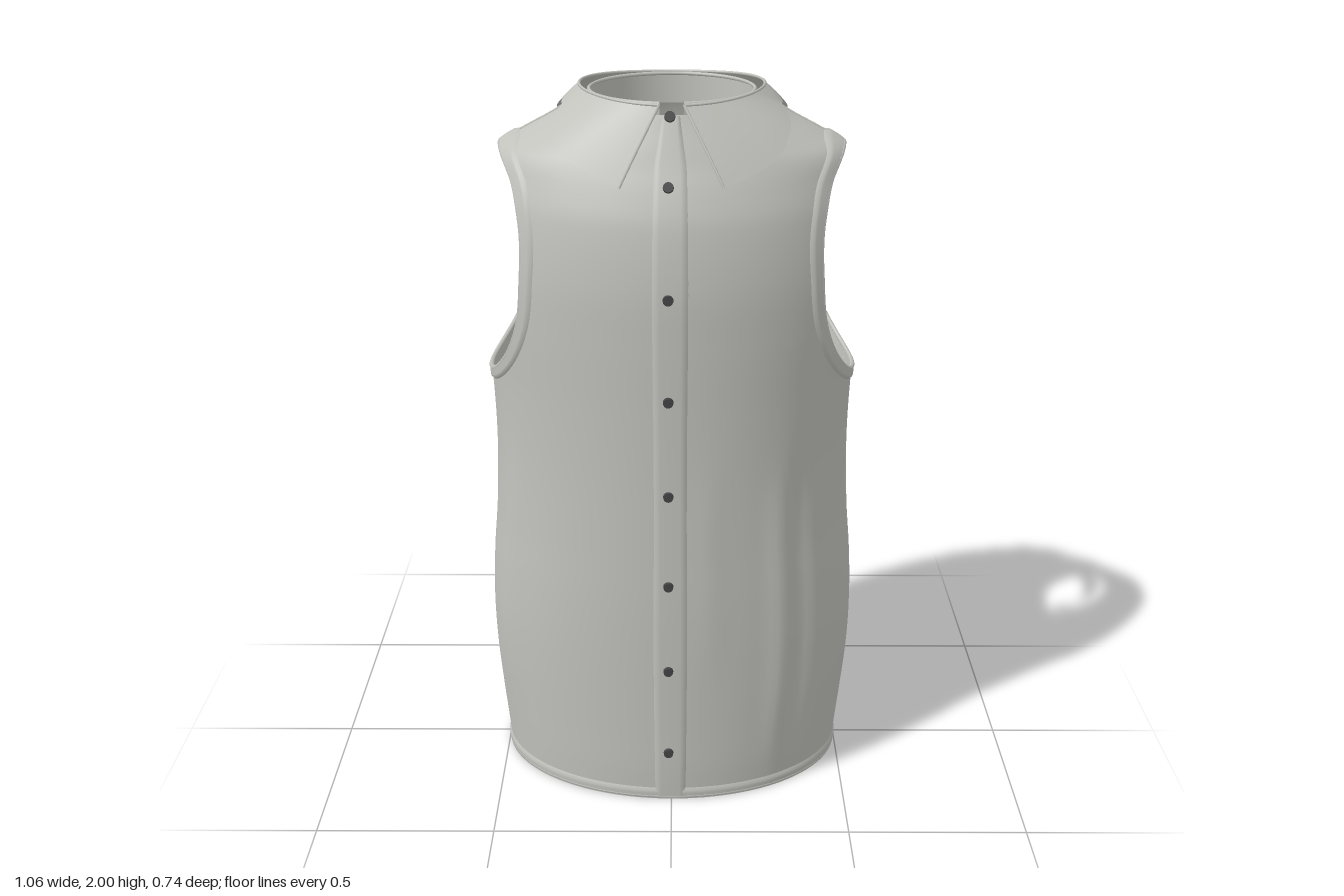
import * as THREE from 'three';

const cloth = new THREE.MeshStandardMaterial({ color: 0xc2c2bd, side: THREE.DoubleSide });
cloth.name = 'grey cloth';
const dark = new THREE.MeshStandardMaterial({ color: 0x444446 });
dark.name = 'dark button';

// Body sections: height, half width, front depth, back depth
const SECTIONS = [
  [0, 0.495, 0.345, 0.308], [0.1, 0.504, 0.35, 0.325], [0.2, 0.513, 0.352, 0.352],
  [0.35, 0.524, 0.355, 0.366], [0.5, 0.527, 0.358, 0.353], [0.65, 0.519, 0.36, 0.331],
  [0.8, 0.505, 0.36, 0.316], [1.0, 0.496, 0.36, 0.31], [1.2, 0.5, 0.362, 0.31],
  [1.4, 0.514, 0.365, 0.31], [1.55, 0.515, 0.363, 0.31], [1.7, 0.5, 0.343, 0.31],
  [1.78, 0.482, 0.315, 0.305], [1.84, 0.457, 0.287, 0.293], [1.88, 0.39, 0.27, 0.28],
  [1.92, 0.315, 0.252, 0.263], [1.96, 0.25, 0.235, 0.25],
];
// Soft vertical folds: angle, angular width, mid height, half height, depth
const FOLDS = [
  [0.62, 0.07, 0.55, 0.4, 0.012], [0.78, 0.07, 0.6, 0.4, -0.01], [0.2, 0.08, 0.75, 0.3, 0.004],
  [-1.1, 0.12, 0.6, 0.4, 0.006], [-1.75, 0.1, 0.6, 0.4, -0.006], [-2.2, 0.1, 0.7, 0.35, 0.009],
  [-2.5, 0.08, 0.7, 0.35, -0.007], [2.2, 0.12, 0.6, 0.4, 0.007], [1.3, 0.1, 0.6, 0.4, 0.006],
];

// Smooth interpolation between sections
function section(y) {
  const S = SECTIONS, n = S.length;
  let i = 0;
  while (i < n - 2 && y > S[i + 1][0]) i++;
  const p = S[i], q = S[i + 1], h = q[0] - p[0], u = (y - p[0]) / h;
  const slope = (j, c) => {
    const a = S[Math.max(j - 1, 0)], b = S[Math.min(j + 1, n - 1)];
    return (b[c] - a[c]) / (b[0] - a[0]);
  };
  return [1, 2, 3].map((c) =>
    p[c] * (2 * u ** 3 - 3 * u * u + 1) + q[c] * (3 * u * u - 2 * u ** 3) +
    h * (slope(i, c) * (u ** 3 - 2 * u * u + u) + slope(i + 1, c) * (u ** 3 - u * u)));
}

// Point on the body: angle t is 0 at the front, PI/2 at the left
function skin(t, y) {
  const [a, f, b] = section(y);
  let r = 1;
  for (const [t0, w, y0, h, d] of FOLDS) {
    r += 2.2 * d * Math.exp(-(((t - t0) / w) ** 2) - ((y - y0) / h) ** 4);
  }
  const c = Math.cos(t);
  return new THREE.Vector3(a * r * Math.sin(t), y, (c > 0 ? f : b) * r * c);
}
function normalAt(t, y) {
  const e = 0.004, y0 = Math.max(y - e, 0), y1 = Math.min(y + e, 1.96);
  const du = skin(t + e, y).sub(skin(t - e, y)), dv = skin(t, y1).sub(skin(t, y0));
  return du.cross(dv).normalize();
}
const onBody = (t, y, off) => skin(t, y).addScaledVector(normalAt(t, y), off);

// Armhole: rounded oval in the side plane
const HOLE = { z: 0.015, y: 1.537, w: 0.225, h: 0.308, n: 2.3 };
const holeRadius = (z, y) => (Math.abs((z - HOLE.z) / HOLE.w) ** HOLE.n + Math.abs((y - HOLE.y) / HOLE.h) ** HOLE.n) ** (1 / HOLE.n);
function angleFor(z, y) {
  const [, f, b] = section(y);
  return Math.acos(THREE.MathUtils.clamp(z / (z > 0 ? f : b), -1, 1));
}
function holePoint(phi, scale, off, side) {
  const c = Math.cos(phi), s = Math.sin(phi), p = 2 / HOLE.n;
  const z = HOLE.z + HOLE.w * scale * Math.sign(c) * Math.abs(c) ** p;
  const y = HOLE.y + HOLE.h * scale * Math.sign(s) * Math.abs(s) ** p;
  return onBody(side * angleFor(z, y), y, off);
}

// Grid surface from a rule; keep() may drop triangles
function grid(f, nu, nv, wrap = false, keep = null) {
  const pos = [], index = [], cols = wrap ? nu : nu + 1;
  for (let j = 0; j <= nv; j++) for (let i = 0; i < cols; i++) pos.push(...f(i / nu, j / nv).toArray());
  const tri = (a, b, c) => { if (!keep || keep(a, b, c)) index.push(a, b, c); };
  for (let j = 0; j < nv; j++) for (let i = 0; i < nu; i++) {
    const a = j * cols + i, b = j * cols + (i + 1) % cols;
    tri(a, b, b + cols);
    tri(a, b + cols, a + cols);
  }
  const g = new THREE.BufferGeometry();
  g.setAttribute('position', new THREE.Float32BufferAttribute(pos, 3));
  g.setIndex(index);
  g.computeVertexNormals();
  return g;
}

export function createModel() {
  const model = new THREE.Group();
  model.name = 'sleeveless shirt';
  const add = (name, geometry, material = cloth) => {
    const m = new THREE.Mesh(geometry, material);
    m.name = name;
    model.add(m);
    return m;
  };
  const tube = (name, count, f, r, closed = false) => {
    const pts = Array.from({ length: count }, (_, i) => f(i / (closed ? count : count - 1)));
    add(name, new THREE.TubeGeometry(new THREE.CatmullRomCurve3(pts, closed), count * 2, r, 6, closed));
  };

  // Body shell, with vertices inside an armhole pulled out to its edge
  const inside = [];
  add('body', grid((u, v) => {
    const t = (u * 2 - 1) * Math.PI, y = v < 0.85 ? v / 0.85 * 1.8 : 1.8 + (v - 0.85) / 0.15 * 0.16;
    const p = skin(t, y), r = holeRadius(p.z, y);
    inside.push(r < 1);
    if (r >= 1) return p;
    const k = 1 / Math.max(r, 0.05);
    const z = HOLE.z + (p.z - HOLE.z) * k, yy = HOLE.y + (y - HOLE.y) * k;
    return skin(Math.sign(t) * angleFor(z, yy), yy);
  }, 160, 140, true, (a, b, c) => !(inside[a] && inside[b] && inside[c])));

  // Armhole bindings and seams on both sides
  for (const side of [1, -1]) {
    const word = side > 0 ? 'left' : 'right';
    add(word + ' armhole band', grid((u, v) =>
      holePoint(u * 2 * Math.PI, 1 + 0.1 * v, v > 0.9 ? 0 : 0.006, side), 72, 5, true));
    tube(word + ' armhole edge', 64, (u) => holePoint(u * 2 * Math.PI, 1, 0, side), 0.007, true);
    tube(word + ' side seam', 24, (u) => onBody(side * Math.PI / 2, u * 1.2, 0), 0.0025);
    tube(word + ' shoulder seam', 10, (u) => onBody(side * (Math.PI / 2 + 0.02), 1.85 + u * 0.1, 0), 0.004);
  }

  // Yoke seam across the back
  const yokeEnd = angleFor(-0.2, 1.65);
  tube('yoke seam', 32, (u) => onBody(yokeEnd + u * 2 * (Math.PI - yokeEnd), 1.65, 0), 0.003);

  // Bottom hem
  add('hem band', grid((u, v) => onBody((u * 2 - 1) * Math.PI, v * 0.035, v > 0.8 ? 0 : 0.005), 120, 4, true));
  tube('hem edge', 80, (u) => onBody((u * 2 - 1) * Math.PI, 0.006, 0), 0.006, true);

  // Button placket
  add('placket', grid((u, v) =>
    onBody((-0.047 + 0.088 * u) / 0.5, 0.002 + v * 1.955, u < 0.05 || u > 0.95 ? 0 : 0.005), 10, 70));

  // Buttons
  const up = new THREE.Vector3(0, 1, 0);
  for (const y of [0.165, 0.44, 0.71, 0.98, 1.25, 1.525, 1.795, 1.955]) {
    const b = add('button', new THREE.CylinderGeometry(0.013, 0.014, 0.01, 16), dark);
    b.position.copy(onBody(-0.016, y, 0.009));
    b.quaternion.setFromUnitVectors(up, normalAt(-0.016, y));
  }

  // Collar stand: inner upright ring, open at the front
  add('collar stand', grid((u, v) => {
    const t = 0.14 + u * (2 * Math.PI - 0.28);
    return new THREE.Vector3(0.217 * Math.sin(t), 1.9 + 0.08 * v, -0.02 + 0.215 * Math.cos(t));
  }, 72, 3));
  tube('collar stand edge', 60, (u) => {
    const t = 0.14 + u * (2 * Math.PI - 0.28);
    return new THREE.Vector3(0.217 * Math.sin(t), 1.98, -0.02 + 0.215 * Math.cos(t));
  }, 0.005);

  // Collar leaf: lower edge runs from the front point over the shoulder to the back
  const LOWER = [[0.27, 1.79], [0.85, 1.885], [1.4, 1.94], [1.75, 1.94], [2.3, 1.875], [2.7, 1.85], [Math.PI, 1.845]];
  const lowerEdge = (s) => {
    const k = Math.min(s * 6, 5.9999), i = Math.floor(k), e = k - i;
    return LOWER[i].map((c, j) => c + (LOWER[i + 1][j] - c) * e);
  };
  const topEdge = (t) => new THREE.Vector3(0.242 * Math.sin(t), 1.982 + 0.014 * Math.sin(t) ** 2, -0.015 + 0.243 * Math.cos(t));
  for (const side of [1, -1]) {
    const leaf = (s, v) => {
      const [t, y] = lowerEdge(s);
      const top = topEdge(0.13 + s ** 1.1 * (Math.PI - 0.13));
      const p = top.lerp(onBody(t, y, 0.012), v);
      const out = 1 + 0.05 * v * (1 - v);
      return new THREE.Vector3(side * p.x * out, p.y, p.z * out);
    };
    const word = side > 0 ? 'left' : 'right';
    add(word + ' collar leaf', grid(leaf, 48, 8));
    tube(word + ' collar fold', 32, (u) => leaf(u, 0), 0.004);
    tube(word + ' collar front edge', 8, (u) => leaf(0, u), 0.004);
  }
  return model;
}
